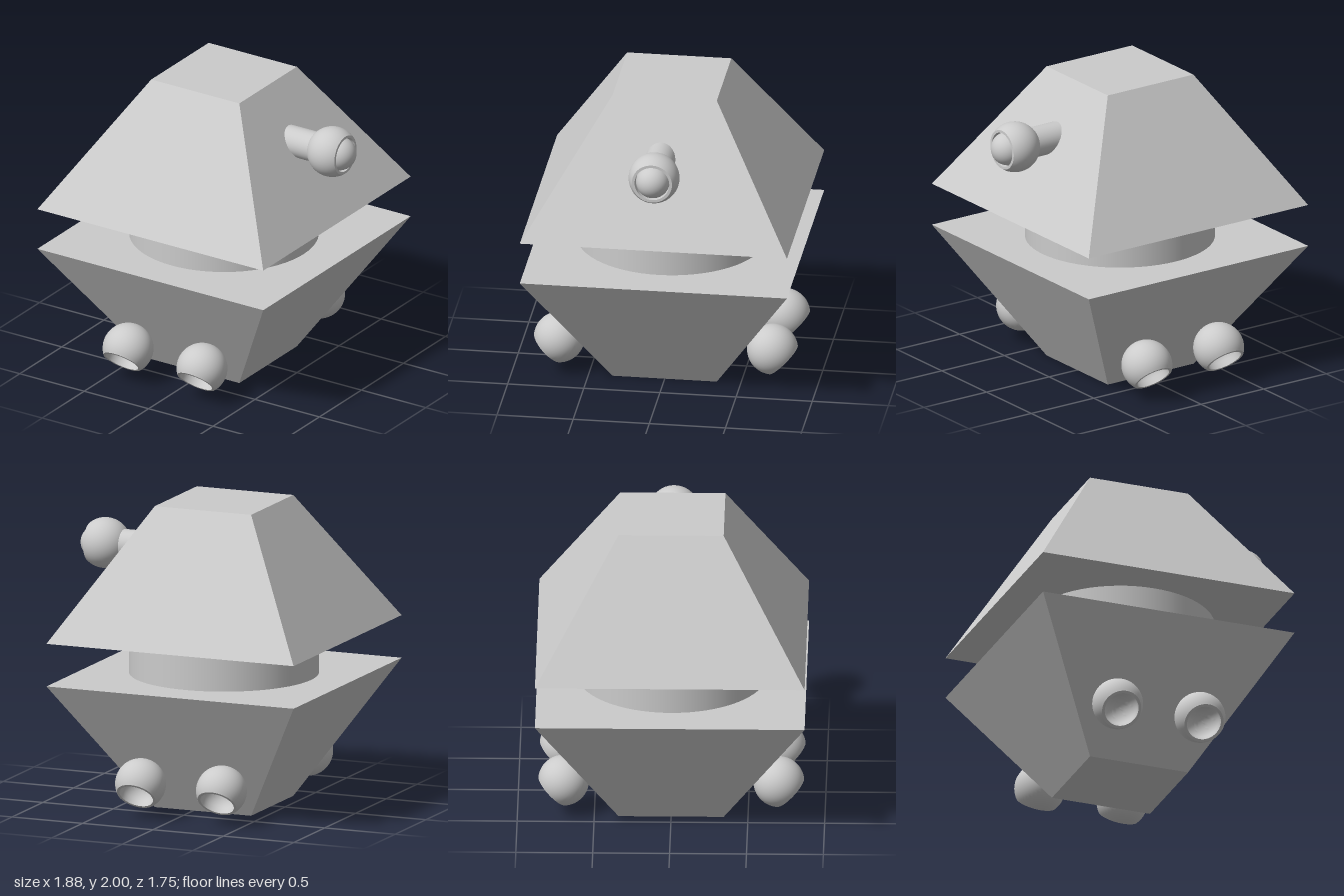
import * as THREE from 'three';
import { toCreasedNormals } from 'three/addons/utils/BufferGeometryUtils.js';

const MID = -0.067;          // x of the body axis
const WIDE = 0.877, NARROW = 0.342;
const BALL = 0.166, CUT = 0.101, BORE = 0.114;

const material = new THREE.MeshStandardMaterial({ color: 0xcccccc });
const flatMaterial = new THREE.MeshStandardMaterial({ color: 0xcccccc, flatShading: true });

function add(parent, name, geometry, x, y, z, mat = material) {
  const mesh = new THREE.Mesh(geometry, mat);
  mesh.name = name;
  mesh.position.set(x, y, z);
  parent.add(mesh);
  return mesh;
}

// Square frustum given by the half widths of its top and bottom
function frustum(top, bottom, height) {
  const g = new THREE.CylinderGeometry(top * Math.SQRT2, bottom * Math.SQRT2, height, 4);
  return g.rotateY(Math.PI / 4);
}

// Ball sliced flat at its +y end, with a round-bottomed socket sunk into the slice
function socketBall() {
  const points = [];
  const end = Math.asin(CUT / BALL);
  for (let i = 0; i <= 24; i++) {
    const a = -Math.PI / 2 + (end + Math.PI / 2) * i / 24;
    points.push(new THREE.Vector2(Math.max(0, BALL * Math.cos(a)), BALL * Math.sin(a)));
  }
  points.push(new THREE.Vector2(BORE, CUT));
  for (let i = 0; i <= 12; i++) {
    const a = Math.PI / 2 * i / 12;
    points.push(new THREE.Vector2(Math.max(0, BORE * Math.cos(a)), 0.06 - BORE * Math.sin(a)));
  }
  return toCreasedNormals(new THREE.LatheGeometry(points, 48), 0.6);
}

export function createModel() {
  const model = new THREE.Group();
  model.name = 'pyramidRobot';

  // Body: two mirrored truncated pyramids around a round hub
  add(model, 'lowerBody', frustum(WIDE, NARROW, 0.86), MID, 0.43, 0, flatMaterial);
  add(model, 'hub', new THREE.CylinderGeometry(0.618, 0.618, 0.29, 64), MID, 1.0025, 0);
  add(model, 'upperBody', frustum(NARROW, WIDE, 0.857), MID, 1.5715, 0, flatMaterial);

  // Eye on a short stalk, looking to +x
  const eye = new THREE.Group();
  eye.name = 'eye';
  eye.position.set(0.775, 1.65, 0);
  eye.rotation.z = -Math.PI / 2;
  model.add(eye);
  const ball = socketBall();
  add(eye, 'eyeSocket', ball, 0, 0, 0);
  add(eye, 'eyeBall', new THREE.SphereGeometry(0.11, 40, 24), 0, 0.056, 0);
  add(eye, 'eyeStalk', new THREE.CylinderGeometry(0.1, 0.1, 0.27, 40), 0, -0.245, 0);

  // Four thruster cups, tilted outward and down
  for (const side of [1, -1]) {
    for (const x of [-0.355, 0.219]) {
      const cup = add(model, 'thrusterCup', ball, x, 0.23, side * 0.7);
      cup.rotation.x = side * Math.PI * 0.75;
    }
  }
  return model;
}
